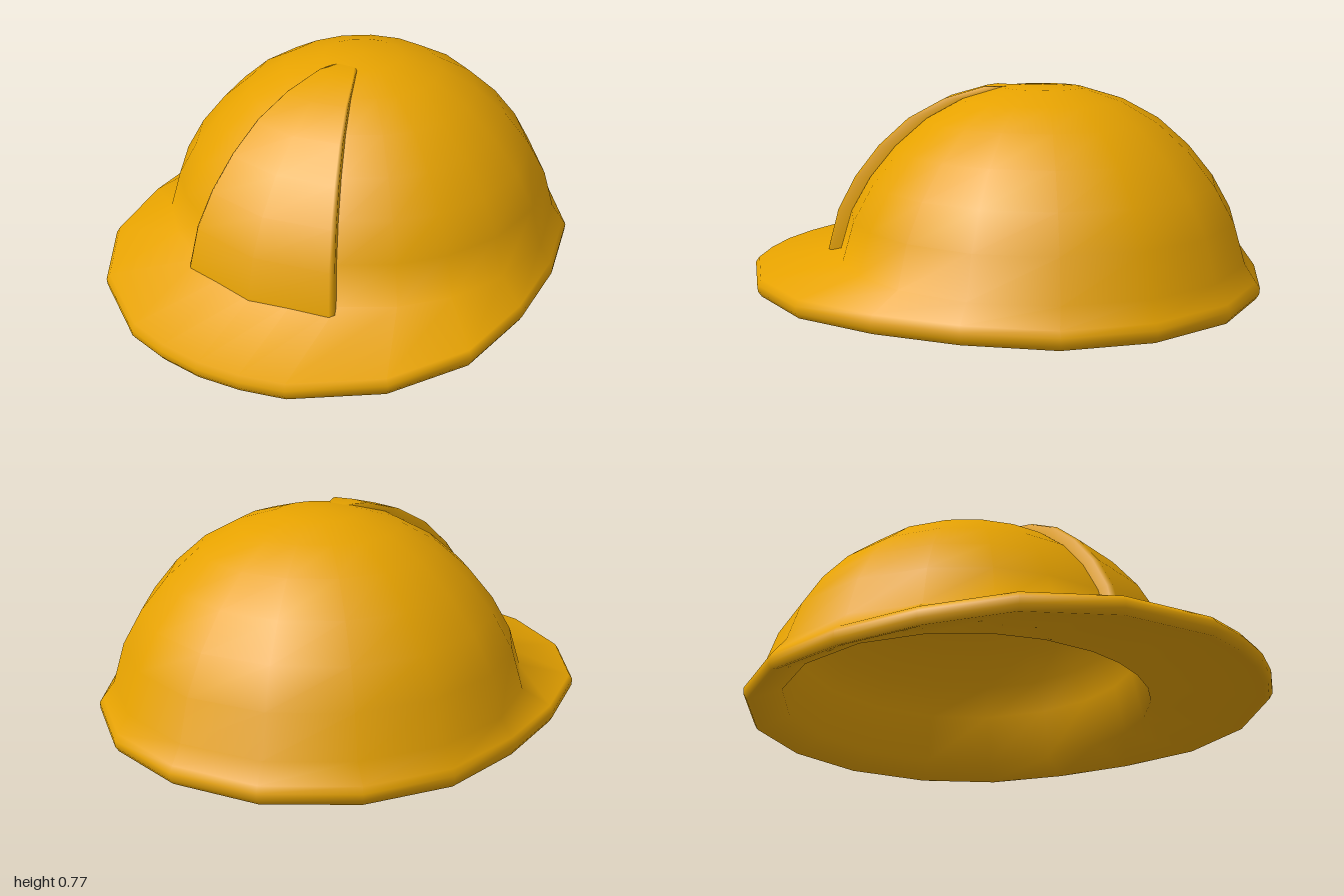
import * as THREE from 'three';
import { mergeVertices } from 'three/addons/utils/BufferGeometryUtils.js';

const DOME_Z = -0.16; // centre of the dome, set back from the brim's centre

// Dome profile from brim to crown: [height, radius]
const PROFILE = [[0.13, 0.782], [0.28, 0.737], [0.41, 0.663], [0.53, 0.565],
  [0.635, 0.445], [0.71, 0.307], [0.755, 0.155], [0.766, 0]];

// Point at an angle around the dome's axis, measured from the front
function around(degrees, r, y) {
  const t = THREE.MathUtils.degToRad(degrees);
  return [r * Math.sin(t), y, DOME_Z + r * Math.cos(t)];
}

// Smooth skin over a list of rings with equal point counts, optionally closed around
function loft(rings, closed) {
  const n = rings[0].length, index = [];
  for (let i = 0; i < rings.length - 1; i++) {
    for (let j = 0; j < (closed ? n : n - 1); j++) {
      const a = i * n + j, b = i * n + (j + 1) % n;
      index.push(a, b, b + n, a, b + n, a + n);
    }
  }
  const geometry = new THREE.BufferGeometry();
  geometry.setAttribute('position', new THREE.Float32BufferAttribute(rings.flat(2), 3));
  geometry.setIndex(index);
  const merged = mergeVertices(geometry, 1e-4);
  merged.computeVertexNormals();
  return merged;
}

// Hollow dome and brim, skinned from the inner crown, around the rim, to the outer crown
function shellGeometry() {
  const halfAngles = [0, 11, 22.5, 38, 53, 70, 90, 112.5, 135, 157.5, 180];
  const halfRim = [[0, 0.995], [0.16, 0.98], [0.32, 0.94], [0.6, 0.75], [0.78, 0.48], [0.84, 0.16],
    [0.84, -0.16], [0.78, -0.48], [0.6, -0.75], [0.32, -0.94], [0, -1]];
  const angles = [...halfAngles, ...halfAngles.slice(1, -1).reverse().map((a) => -a)];
  const rim = [...halfRim, ...halfRim.slice(1, -1).reverse().map(([x, z]) => [-x, z])];

  const domeRing = (y, r) => angles.map((a) => around(a, r, y));
  const rimRing = (y, s) => rim.map(([x, z]) => [x * s, y, z * s]);
  const inner = PROFILE.map(([y, r], i) => domeRing(i === 0 ? 0.055 : y * 0.9, r * 0.9));

  return loft([
    ...inner.reverse(),
    rimRing(0.003, 0.97), rimRing(0, 0.985), rimRing(0.02, 0.998), rimRing(0.045, 1), rimRing(0.066, 0.985),
    ...PROFILE.map(([y, r]) => domeRing(y, r)),
  ], true);
}

// Raised wedge with radial side walls, running up the front to the crown
function ridgeGeometry() {
  const section = (y, angle, inner, outer) => [
    around(-angle, inner, y), around(-angle, outer - 0.012, y), around(-angle * 0.94, outer, y),
    around(0, outer + 0.003, y),
    around(angle * 0.94, outer, y), around(angle, outer - 0.012, y), around(angle, inner, y)];
  const rings = PROFILE.slice(0, -1).map(([y, r], i) =>
    section(y, 22.3 - 0.35 * i, r * 0.96, r + 0.05 + Math.min(i, 4) * 0.005));
  // Foot sunk into the brim, and the end buried in the crown
  rings.unshift(rings[0].map(([x, , z]) => [x, 0.105, z]));
  rings.push(section(0.757, 12, 0.1, 0.12));
  return loft(rings, false);
}

export function createModel() {
  const group = new THREE.Group();
  group.name = 'hardHat';
  const material = new THREE.MeshStandardMaterial({ color: 0xe6a200 });

  const add = (name, geometry) => {
    const mesh = new THREE.Mesh(geometry, material);
    mesh.name = name;
    group.add(mesh);
  };
  add('shell', shellGeometry());
  add('frontRidge', ridgeGeometry());
  return group;
}
